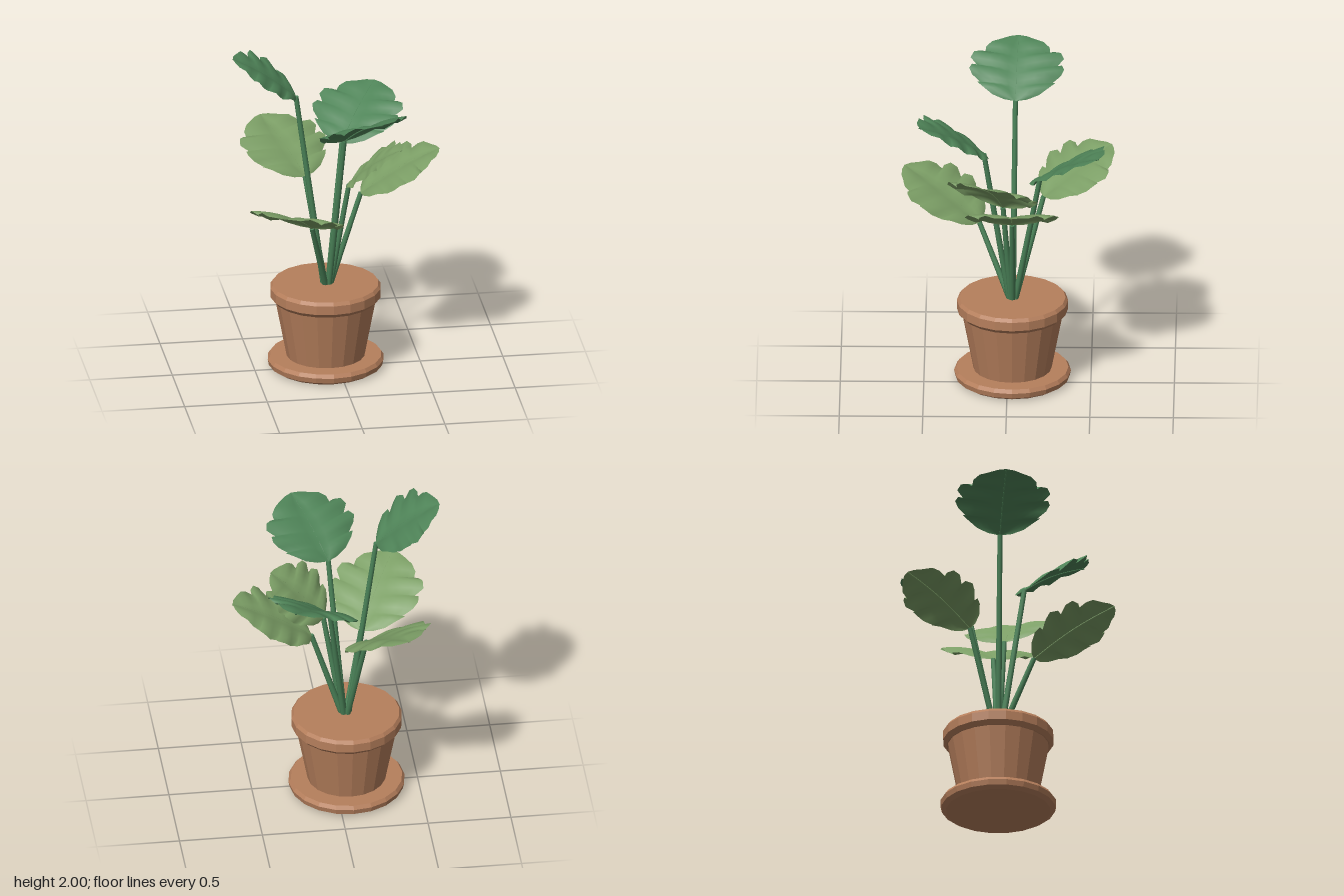
import * as THREE from 'three';

const CENTRE = new THREE.Vector3(-0.068, 0, -0.03);
const UP = new THREE.Vector3(0, 1, 0);

const clay = new THREE.MeshStandardMaterial({ color: 0xb67f5c, flatShading: true });
const stemGreen = new THREE.MeshStandardMaterial({ color: 0x4a8258 });
const darkGreen = new THREE.MeshStandardMaterial({ color: 0x4f8458, side: THREE.DoubleSide });
const lightGreen = new THREE.MeshStandardMaterial({ color: 0x7c9f66, side: THREE.DoubleSide });

// Half outline of a leaf: [position along length 0..1, half width, ripple height]
const OUTLINE = [
  [0, 0.015, 0], [0.02, 0.07, 0], [0.08, 0.14, 0.4], [0.18, 0.2, 1], [0.26, 0.235, 0],
  [0.27, 0.215, -1], [0.36, 0.265, 0], [0.44, 0.285, 1], [0.52, 0.27, 0], [0.52, 0.24, -1],
  [0.62, 0.28, 0], [0.7, 0.26, 1], [0.73, 0.22, 0], [0.71, 0.195, -1], [0.8, 0.19, 0],
  [0.87, 0.155, 1], [0.93, 0.105, 0], [0.98, 0.05, 0], [1, 0, 0],
];

// Stem end, leaf tip, leaf colour
const LEAVES = [
  [[-0.245, 1.74, -0.045], [-0.625, 2.0, -0.06], darkGreen],
  [[0.055, 1.36, -0.195], [0.305, 1.61, -0.55], darkGreen],
  [[0.02, 1.51, 0.14], [0.195, 1.76, 0.525], darkGreen],
  [[-0.165, 1.15, -0.215], [-0.375, 1.4, -0.62], lightGreen],
  [[-0.18, 0.97, 0.17], [-0.43, 1.23, 0.62], lightGreen],
  [[0.145, 1.1, -0.03], [0.62, 1.36, -0.03], lightGreen],
  [[0.065, 1.18, 0.025], [0.365, 1.44, 0.16], lightGreen],
];

function mesh(name, geometry, material) {
  const m = new THREE.Mesh(geometry, material);
  m.name = name;
  return m;
}

function turned(name, profile) {
  const points = profile.map(([r, y]) => new THREE.Vector2(r, y));
  const m = mesh(name, new THREE.LatheGeometry(points, 20), clay);
  m.position.copy(CENTRE);
  return m;
}

// Straight round stem between two points
function stem(from, to) {
  const dir = to.clone().sub(from);
  const m = mesh('stem', new THREE.CylinderGeometry(0.015, 0.019, dir.length(), 8), stemGreen);
  m.position.copy(from).addScaledVector(dir, 0.5);
  m.quaternion.setFromUnitVectors(UP, dir.normalize());
  return m;
}

// Arched, rippled blade whose veins fan forward from the midrib
function leaf(base, tip, material) {
  const along = tip.clone().sub(base);
  const side = new THREE.Vector3().crossVectors(along, UP).normalize();
  const normal = new THREE.Vector3().crossVectors(side, along).normalize();
  const half = 5, cols = half * 2 + 1;
  const place = (t, w, h) => base.clone().addScaledVector(along, t)
    .addScaledVector(side, w).addScaledVector(normal, h + 0.022 * Math.sin(Math.PI * t));

  const positions = [], index = [];
  OUTLINE.forEach(([edgeT, edgeW, ripple], i) => {
    const midT = Math.pow(i / (OUTLINE.length - 1), 1.2);
    for (let j = -half; j <= half; j++) {
      const s = Math.abs(j) / half;
      const t = THREE.MathUtils.lerp(midT, edgeT, s);
      const fold = 0.014 * Math.sin(Math.PI * s) * Math.min(1, edgeW / 0.2);
      positions.push(...place(t, edgeW * j / half, fold + 0.013 * ripple * s).toArray());
    }
    if (i === 0) return;
    for (let j = 0; j < cols - 1; j++) {
      const a = (i - 1) * cols + j, c = a + cols;
      index.push(a, a + 1, c, a + 1, c + 1, c);
    }
  });
  const blade = new THREE.BufferGeometry();
  blade.setAttribute('position', new THREE.Float32BufferAttribute(positions, 3));
  blade.setIndex(index);
  blade.computeVertexNormals();

  const ribPath = new THREE.CatmullRomCurve3([0, 0.25, 0.5, 0.75, 1].map(t => place(t, 0, -0.003)));
  const group = new THREE.Group();
  group.name = 'leaf';
  group.add(mesh('leafBlade', blade, material));
  group.add(mesh('midrib', new THREE.TubeGeometry(ribPath, 12, 0.004, 5), material));
  return group;
}

export function createModel() {
  const model = new THREE.Group();
  model.name = 'pottedPlant';

  // Pot
  model.add(turned('saucer', [[0, 0], [0.315, 0], [0.343, 0.018], [0.35, 0.05], [0.335, 0.072], [0, 0.072]]));
  model.add(turned('potBody', [[0, 0.06], [0.233, 0.06], [0.305, 0.44], [0, 0.44]]));
  model.add(turned('potRim', [[0, 0.43], [0.31, 0.43], [0.333, 0.455], [0.333, 0.51], [0.318, 0.53], [0, 0.53]]));

  // Foliage
  for (const [end, tip, material] of LEAVES) {
    const top = new THREE.Vector3(...end);
    const root = new THREE.Vector3(-0.06, 0.515, -0.03);
    const lean = top.clone().sub(root).setY(0).normalize();
    root.addScaledVector(lean, 0.018);
    model.add(stem(root, top));
    model.add(leaf(top, new THREE.Vector3(...tip), material));
  }
  return model;
}
